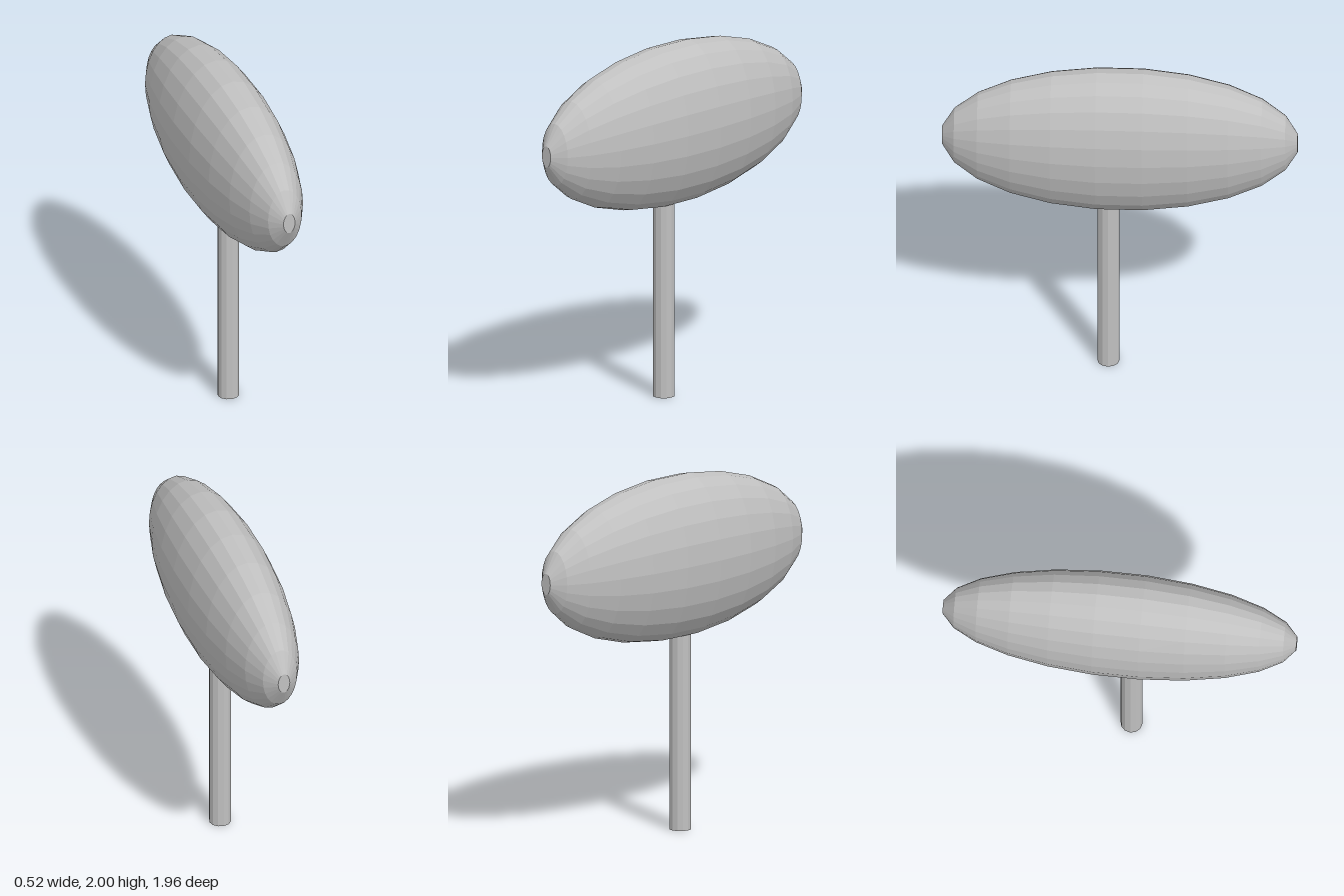
import * as THREE from 'three';

export function createModel() {
  const model = new THREE.Group();
  const grey = new THREE.MeshStandardMaterial({ color: 0xc0c0c0 });
  grey.name = 'plain grey';
  grey.flatShading = true;

  // Faceted ellipsoid head with small flat ends: 12 rings at half-step latitudes
  const rings = 12;
  const profile = [new THREE.Vector2(0, -Math.cos(Math.PI / rings / 2))];
  for (let i = 0; i < rings; i++) {
    const a = ((i + 0.5) / rings) * Math.PI;
    profile.push(new THREE.Vector2(Math.sin(a), -Math.cos(a)));
  }
  profile.push(new THREE.Vector2(0, Math.cos(Math.PI / rings / 2)));
  const headGeometry = new THREE.LatheGeometry(profile, 24);
  headGeometry.rotateX(Math.PI / 2);
  headGeometry.scale(0.26, 0.459, 0.988);
  const head = new THREE.Mesh(headGeometry, grey);
  head.name = 'head';
  head.position.y = 1.545;
  model.add(head);

  // Thin pole, set slightly forward and ending just inside the head
  const poleHeight = 1.12;
  const pole = new THREE.Mesh(new THREE.CylinderGeometry(0.061, 0.061, poleHeight, 12), grey);
  pole.name = 'pole';
  pole.position.set(0, poleHeight / 2, 0.064);
  model.add(pole);

  return model;
}
